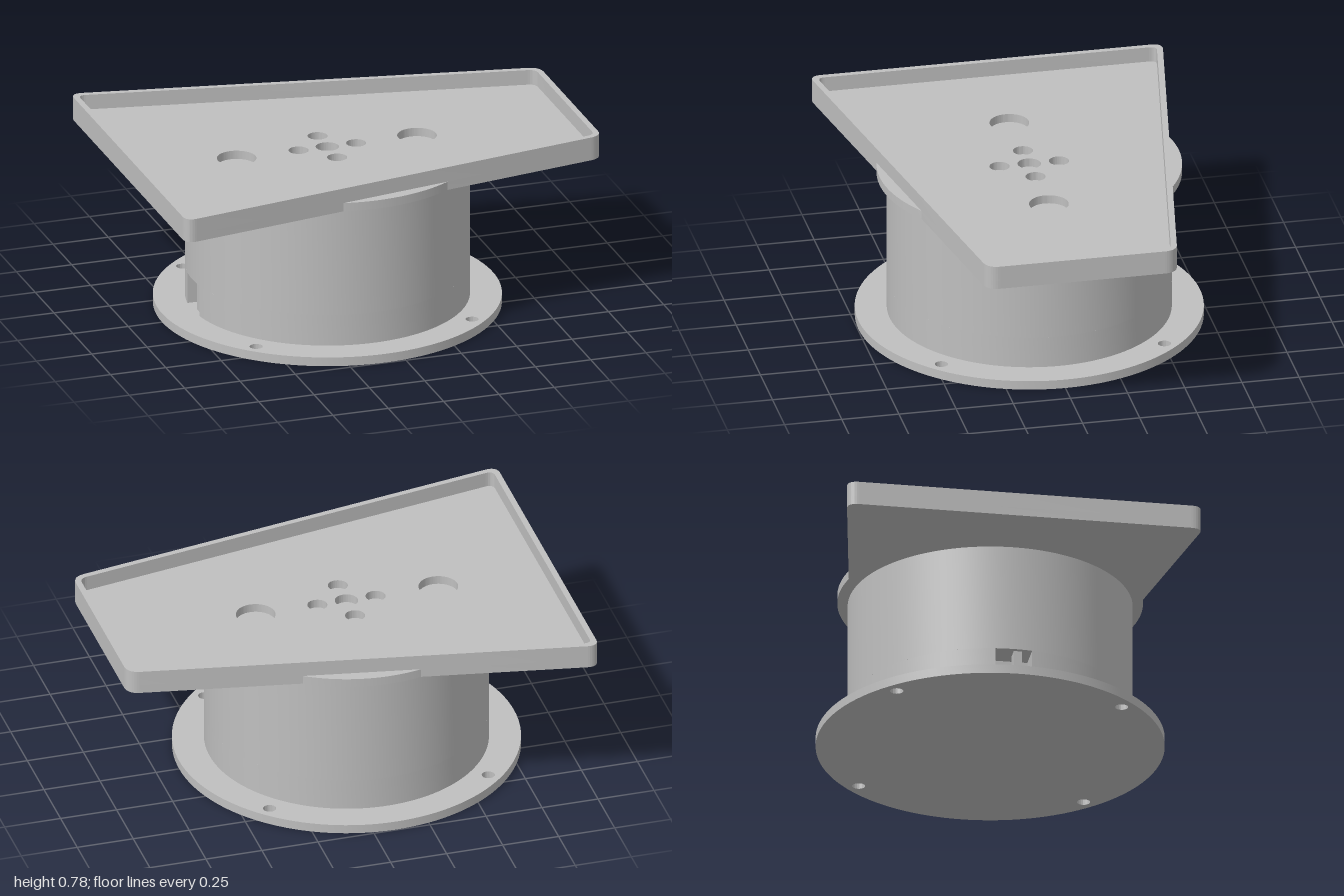
import * as THREE from 'three';
import { toCreasedNormals } from 'three/addons/utils/BufferGeometryUtils.js';

const AXIS = -0.1; // x of the drum axis
const FLOOR = 0.713; // top of the tray floor
const UNDER = 0.675; // underside of the tray

export function createModel() {
  const model = new THREE.Group();
  const grey = new THREE.MeshStandardMaterial({ color: 0xbfbfbf });
  grey.name = 'plain grey';

  // Upright extrusion of a plan shape (plan y becomes -z) between two heights
  function slab(name, shape, y0, y1) {
    const flat = new THREE.ExtrudeGeometry(shape, { depth: y1 - y0, bevelEnabled: false, curveSegments: 64 });
    flat.rotateX(-Math.PI / 2).translate(0, y0, 0);
    const mesh = new THREE.Mesh(toCreasedNormals(flat, 0.5), grey);
    mesh.name = name;
    model.add(mesh);
    return mesh;
  }
  function circle(Type, x, y, r) {
    return new Type().absarc(x, y, r, 0, Math.PI * 2, false);
  }
  function ring(count, radius, start) {
    return Array.from({ length: count }, (_, i) => {
      const a = start + (i * Math.PI * 2) / count;
      return [AXIS + radius * Math.cos(a), radius * Math.sin(a)];
    });
  }
  // Tapered tray outline with rounded corners, inset by d
  function trayOutline(Type, d, r) {
    const side = (x) => 0.594 - 0.18 * x - d * 1.016;
    const e = 1 - d;
    const c = [[-e, -side(-e)], [e, -side(e)], [e, side(e)], [-e, side(-e)]]
      .map(([x, y]) => new THREE.Vector2(x, y));
    const path = new Type();
    c.forEach((p, i) => {
      const toward = (q) => p.clone().add(q.clone().sub(p).setLength(r));
      const a = toward(c[(i + 3) % 4]);
      const b = toward(c[(i + 1) % 4]);
      if (i === 0) path.moveTo(a.x, a.y);
      else path.lineTo(a.x, a.y);
      path.quadraticCurveTo(p.x, p.y, b.x, b.y);
    });
    path.closePath();
    return path;
  }

  // Base flange with four bolt holes
  const flange = circle(THREE.Shape, AXIS, 0, 0.747);
  for (const [x, y] of ring(4, 0.69, Math.PI / 4)) flange.holes.push(circle(THREE.Path, x, y, 0.028));
  slab('baseFlange', flange, 0, 0.04);

  // Drum: a notched lower band and a full upper band
  const R = 0.61;
  const half = 0.08;
  const a = Math.asin(half / R);
  const lower = new THREE.Shape();
  lower.absarc(AXIS, 0, R, -Math.PI + a, Math.PI - a, false);
  lower.lineTo(AXIS - 0.48, half);
  lower.lineTo(AXIS - 0.48, -half);
  lower.closePath();
  slab('drumLower', lower, 0.04, 0.18);
  slab('drumUpper', circle(THREE.Shape, AXIS, 0, R), 0.18, 0.66);

  // Small post inside the cable notch
  const post = new THREE.Mesh(new THREE.BoxGeometry(0.06, 0.14, 0.035), grey);
  post.name = 'notchPost';
  post.position.set(AXIS - 0.56, 0.11, 0.02);
  model.add(post);

  // Turning hub with screw holes
  const hub = circle(THREE.Shape, AXIS, 0, 0.17);
  for (const [x, y] of ring(4, 0.13, 0)) hub.holes.push(circle(THREE.Path, x, y, 0.015));
  slab('hub', hub, 0.66, UNDER);

  // Tray floor with its through holes
  const floor = trayOutline(THREE.Shape, 0, 0.055);
  for (const [x, y] of ring(4, 0.13, 0)) floor.holes.push(circle(THREE.Path, x, y, 0.043));
  floor.holes.push(circle(THREE.Path, AXIS, 0, 0.05));
  for (const x of [-0.51, 0.305]) floor.holes.push(circle(THREE.Path, x, 0, 0.085));
  slab('trayFloor', floor, UNDER, FLOOR);

  // Tray rim
  const rim = trayOutline(THREE.Shape, 0, 0.055);
  rim.holes.push(trayOutline(THREE.Path, 0.026, 0.035));
  slab('trayRim', rim, FLOOR, 0.78);

  // Curved ledges where the round plate passes the tray sides
  for (const s of [1, -1]) {
    const mid = (s * 80 * Math.PI) / 180;
    const span = (25 * Math.PI) / 180;
    const ledge = new THREE.Shape().absarc(AXIS, 0, 0.654, mid - span, mid + span, false);
    ledge.closePath();
    slab(s > 0 ? 'backLedge' : 'frontLedge', ledge, UNDER, FLOOR);
  }

  return model;
}
